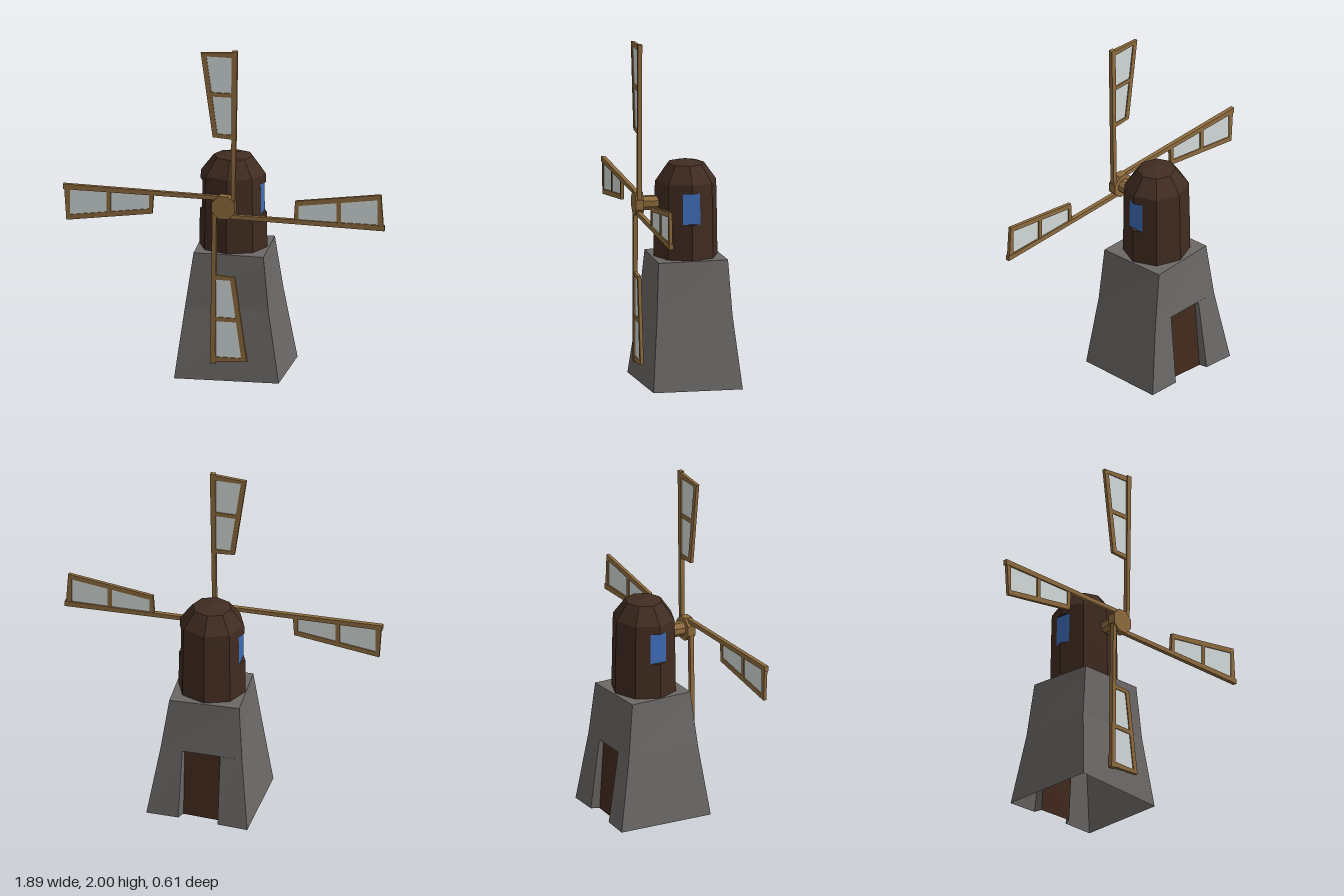
import * as THREE from 'three';

const mat = (name, color, side = THREE.FrontSide) => {
  const m = new THREE.MeshStandardMaterial({ color, side });
  m.name = name;
  return m;
};

// Flat-shaded geometry from a list of quads, skipping collapsed triangles
function quadGeometry(quads) {
  const pos = [];
  for (const [a, b, c, d] of quads) {
    for (const t of [[a, b, c], [a, c, d]]) {
      const [p, q, r] = t.map(v => new THREE.Vector3(...v));
      if (q.clone().sub(p).cross(r.clone().sub(p)).length() > 1e-7) pos.push(...t.flat());
    }
  }
  const g = new THREE.BufferGeometry();
  g.setAttribute('position', new THREE.Float32BufferAttribute(pos, 3));
  g.computeVertexNormals();
  return g;
}

// Quads joining two rings of equal length (counter-clockwise seen from outside)
const wall = (lo, hi) => lo.map((p, i) => {
  const j = (i + 1) % lo.length;
  return [p, lo[j], hi[j], hi[i]];
});

const ring = (y, pts) => pts.map(([x, z]) => [x, y, z]);

export function createModel() {
  const stone = mat('stone', 0x6b6866, THREE.DoubleSide);
  const darkWood = mat('dark wood', 0x412c21);
  const doorWood = mat('door wood', 0x432a1d, THREE.DoubleSide);
  const timber = mat('timber', 0x8f6c3e);
  const cloth = mat('sail cloth', 0xd3dbda, THREE.DoubleSide);
  const glass = mat('window glass', 0x3d6bb5);

  const model = new THREE.Group();
  model.name = 'windmill';
  const add = (name, geometry, material, parent = model) => {
    const m = new THREE.Mesh(geometry, material);
    m.name = name;
    parent.add(m);
    return m;
  };

  // Stone tower, open underneath, with a door recess in the back wall
  const foot = ring(0, [[-0.29, 0.28], [0.32, 0.255], [0.32, -0.27], [0.13, -0.275],
    [0.11, -0.228], [-0.1, -0.245], [-0.11, -0.292], [-0.29, -0.307]]);
  const waist = ring(0.42, [[-0.237, 0.225], [0.252, 0.22], [0.248, -0.225], [0.118, -0.226],
    [0.11, -0.202], [-0.1, -0.207], [-0.108, -0.229], [-0.238, -0.23]]);
  const shoulder = ring(0.74, [[-0.192, 0.2], [0.22, 0.205], [0.2, -0.208], [-0.212, -0.192]]);
  const waistCorners = [0, 1, 2, 7].map(i => waist[i]);
  const lower = wall(foot, waist);
  const doorQuad = lower.splice(4, 1);
  add('tower', quadGeometry([
    ...lower,
    ...wall(waistCorners, shoulder),
    [waist[3], waist[6], waist[5], waist[4]],
    shoulder,
  ]), stone);
  add('door', quadGeometry(doorQuad), doorWood);

  // Eight-sided cap; each side corner is cut back to hold a flat window
  const capRing = (y, r, cut = false) => {
    const pts = [];
    const w = 0.055 * r / 0.2;
    const chord = r - w * 0.4142;
    for (let k = 0; k < 8; k++) {
      const a = k * Math.PI / 4, x = Math.sin(a) * r, z = Math.cos(a) * r * 0.94;
      if (k % 4 !== 2) { pts.push([x, z]); continue; }
      const s = Math.sign(x);
      pts.push([s * chord, s * w * 0.94], [s * (cut ? chord : r), 0], [s * chord, -s * w * 0.94]);
    }
    return ring(y, pts);
  };
  const capRings = [
    capRing(0.735, 0.2), capRing(0.95, 0.197), capRing(0.95, 0.197, true),
    capRing(1.13, 0.193, true), capRing(1.13, 0.193), capRing(1.18, 0.191),
    capRing(1.28, 0.115), capRing(1.305, 0),
  ];
  const capQuads = [], windowQuads = [];
  for (let i = 0; i < capRings.length - 1; i++) {
    wall(capRings[i], capRings[i + 1]).forEach((q, k) => {
      const isWindow = i === 2 && [2, 3, 8, 9].includes(k);
      (isWindow ? windowQuads : capQuads).push(q);
    });
  }
  add('cap', quadGeometry(capQuads), darkWood);
  add('windows', quadGeometry(windowQuads), glass);

  // Rotor: axle, hub and four sails turned about the axle
  const rotor = new THREE.Group();
  rotor.name = 'rotor';
  rotor.position.set(0.005, 1.055, 0);
  model.add(rotor);
  const disc = (name, r, z0, z1) => {
    const g = new THREE.CylinderGeometry(r, r, z1 - z0, 8).toNonIndexed();
    g.rotateX(Math.PI / 2).rotateZ(Math.PI / 8).translate(0, 0, (z0 + z1) / 2);
    g.computeVertexNormals();
    add(name, g, timber, rotor);
  };
  disc('axle', 0.043, 0.15, 0.27);
  disc('hub', 0.074, 0.258, 0.306);

  const poly = pts => pts.map(([x, y]) => new THREE.Vector2(x, y));
  const plate = (shape, z0, z1) =>
    new THREE.ExtrudeGeometry(shape, { depth: z1 - z0, bevelEnabled: false }).translate(0, 0, z0);
  const edge = y => -0.065 - (y - 0.42) * 0.139; // slanted outer edge of a sail

  const spar = plate(new THREE.Shape(poly([[0.042, 0], [0.066, 0], [0.081, 0.945], [0.05, 0.945]])), 0.272, 0.297);
  const frameShape = new THREE.Shape(poly([[0.055, 0.412], [edge(0.42), 0.42], [edge(0.925), 0.925], [0.055, 0.938]]));
  for (const [y0, y1] of [[0.44, 0.665], [0.69, 0.905]]) {
    frameShape.holes.push(new THREE.Path(poly([[0.047, y0], [0.047, y1], [edge(y1) + 0.03, y1], [edge(y0) + 0.03, y0]])));
  }
  const frame = plate(frameShape, 0.275, 0.294);
  const sheet = plate(new THREE.Shape(poly([[0.05, 0.425], [edge(0.43) + 0.012, 0.43],
    [edge(0.915) + 0.012, 0.915], [0.05, 0.92]])), 0.281, 0.288);

  for (let i = 0; i < 4; i++) {
    const sail = new THREE.Group();
    sail.name = 'sail' + (i + 1);
    sail.rotation.z = i * Math.PI / 2;
    rotor.add(sail);
    add('spar', spar, timber, sail);
    add('sailFrame', frame, timber, sail);
    add('sailCloth', sheet, cloth, sail);
  }
  return model;
}
